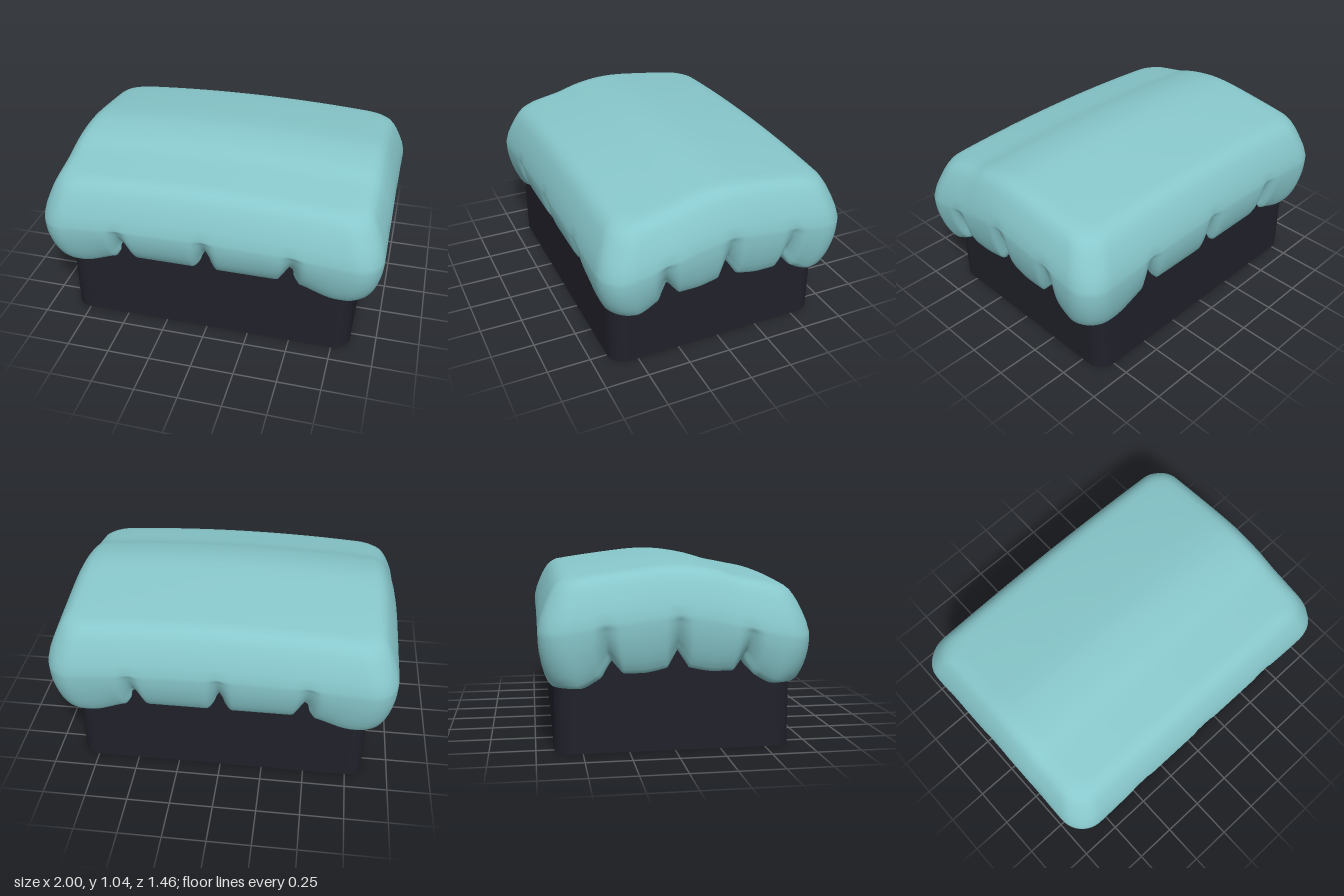
import * as THREE from 'three';

const HX = 1, HZ = 0.73, R = 0.16;
const smooth = THREE.MathUtils.smoothstep;

// height of the draped top along z: low rounded ridge, lower at the front
const ridge = [[-0.65, 0.955], [-0.57, 0.972], [-0.4, 0.998], [-0.2, 1.024], [-0.1, 1.035], [0, 1.04],
  [0.1, 1.034], [0.22, 1.013], [0.33, 0.98], [0.45, 0.955], [0.57, 0.931], [0.65, 0.915]];
function topHeight(x, z) {
  const zc = THREE.MathUtils.clamp(z, -0.65, 0.65), xc = Math.min(Math.abs(x), 0.9);
  let i = 0;
  while (i < ridge.length - 2 && zc > ridge[i + 1][0]) i++;
  const slope = (k) => {
    const a = ridge[Math.max(k - 1, 0)], b = ridge[Math.min(k + 1, ridge.length - 1)];
    return (b[1] - a[1]) / (b[0] - a[0]);
  };
  const [z0, y0] = ridge[i], [z1, y1] = ridge[i + 1];
  const h = z1 - z0, t = (zc - z0) / h, t2 = t * t, t3 = t2 * t;
  const y = (2 * t3 - 3 * t2 + 1) * y0 + (t3 - 2 * t2 + t) * h * slope(i)
    + (3 * t2 - 2 * t3) * y1 + (t3 - t2) * h * slope(i + 1);
  return y - 0.05 * xc * xc;
}

// walk round a rounded rectangle: corner centre signs, normal angle, notch and hem height
function perimeter() {
  const signs = [[1, 1], [-1, 1], [-1, -1], [1, -1]], list = [];
  const ARC = 12, SIDE = 90;
  for (let q = 0; q < 4; q++) {
    const [ax, az] = signs[q], [bx, bz] = signs[(q + 1) % 4];
    for (let k = 0; k < ARC; k++) {
      list.push({ cx: ax, cz: az, a: (q + k / ARC) * Math.PI / 2, notch: 0, fold: 0, hem: 0.37 });
    }
    for (let k = 0; k < SIDE; k++) {
      const t = k / SIDE, long = q % 2 === 0;
      const cx = ax + (bx - ax) * t, cz = az + (bz - az) * t;
      const u = Math.abs(long ? cx * (HX - R) : cz * (HZ - R));
      const n = long ? 0.51 : 0.385;
      const d = Math.min(u, Math.abs(u - n));
      const notch = Math.max(0, 1 - d / 0.065);
      const fold = Math.exp(-((d / 0.05) ** 2));
      const centreLift = long ? 0 : 0.03 * (1 - smooth(u, 0, 0.22));
      const hem = 0.445 + centreLift - 0.075 * smooth(u, n, n + (long ? 0.3 : 0.2))
        + (u < n / 2 ? 0.085 : 0.07) * notch;
      list.push({ cx, cz, a: (q + 1) * Math.PI / 2, notch, fold, hem });
    }
  }
  return list;
}

// draped cover: rings spread over the top, roll over the edge and hang to a scalloped hem
function coverGeometry() {
  const path = perimeter(), rings = [];
  const at = (p, inset, scale = 1) => {
    const r = R - inset * 0.3;
    return [scale * (p.cx * (HX - inset - r) + r * Math.cos(p.a)),
      scale * (p.cz * (HZ - inset - r) + r * Math.sin(p.a))];
  };
  // flat top
  for (let k = 0; k <= 16; k++) {
    rings.push((p) => {
      const [x, z] = at(p, 0.15, k / 16);
      return [x, topHeight(x, z), z];
    });
  }
  // rolled edge: inset and drop
  const roll = [[0.12, 0.01], [0.095, 0.025], [0.075, 0.05], [0.055, 0.085], [0.035, 0.13], [0.015, 0.18], [0, 0.24]];
  for (const [inset, drop] of roll) {
    rings.push((p) => {
      const [x, z] = at(p, inset);
      return [x, topHeight(x, z) - drop, z];
    });
  }
  // hanging skirt with folds above the notches
  const skirt = [[0.12, 0], [0.25, 0.001], [0.4, 0.005], [0.55, 0.012], [0.7, 0.021], [0.85, 0.033], [1, 0.05]];
  for (const [w, inset] of skirt) {
    rings.push((p) => {
      const [x, z] = at(p, inset);
      const y = THREE.MathUtils.lerp(topHeight(x, z) - 0.24, p.hem + 0.025, w);
      const dent = (0.02 * p.fold + 0.02 * p.notch) * Math.sqrt(w);
      return [x - dent * Math.cos(p.a), y, z - dent * Math.sin(p.a)];
    });
  }
  // hem and its turned-in underside
  for (const [inset, lift] of [[0.065, 0.006], [0.085, 0], [0.16, 0.05]]) {
    rings.push((p) => {
      const [x, z] = at(p, inset);
      const dent = 0.03 * p.notch;
      return [x - dent * Math.cos(p.a), p.hem + lift, z - dent * Math.sin(p.a)];
    });
  }

  const pos = [], index = [], n = path.length;
  for (const ring of rings) for (const p of path) pos.push(...ring(p));
  for (let i = 0; i < rings.length - 1; i++) {
    for (let j = 0; j < n; j++) {
      const k = (j + 1) % n, a = i * n + j, b = i * n + k;
      if (i > 0) index.push(a, b, a + n);
      index.push(b, b + n, a + n);
    }
  }
  // the first ring collapses to one point, so share a single vertex there
  const geo = new THREE.BufferGeometry();
  geo.setAttribute('position', new THREE.Float32BufferAttribute(pos, 3));
  geo.setIndex(index.map((v) => (v < n ? 0 : v)));
  geo.computeVertexNormals();
  return geo;
}

// block with rounded upright edges
function baseGeometry(hx, hz, r, height) {
  const s = new THREE.Shape();
  s.absarc(hx - r, hz - r, r, 0, Math.PI / 2);
  s.absarc(-hx + r, hz - r, r, Math.PI / 2, Math.PI);
  s.absarc(-hx + r, -hz + r, r, Math.PI, Math.PI * 1.5);
  s.absarc(hx - r, -hz + r, r, Math.PI * 1.5, Math.PI * 2);
  const geo = new THREE.ExtrudeGeometry(s, { depth: height, bevelEnabled: false, curveSegments: 4 });
  return geo.rotateX(-Math.PI / 2);
}

export function createModel() {
  const model = new THREE.Group();
  const add = (name, geo, color) => {
    const mesh = new THREE.Mesh(geo, new THREE.MeshStandardMaterial({ color }));
    mesh.name = name;
    model.add(mesh);
    return mesh;
  };
  add('base', baseGeometry(0.85, 0.65, 0.1, 0.8), 0x20212a);
  add('drapedCover', coverGeometry(), 0x88c8cc).material.side = THREE.DoubleSide;
  return model;
}
